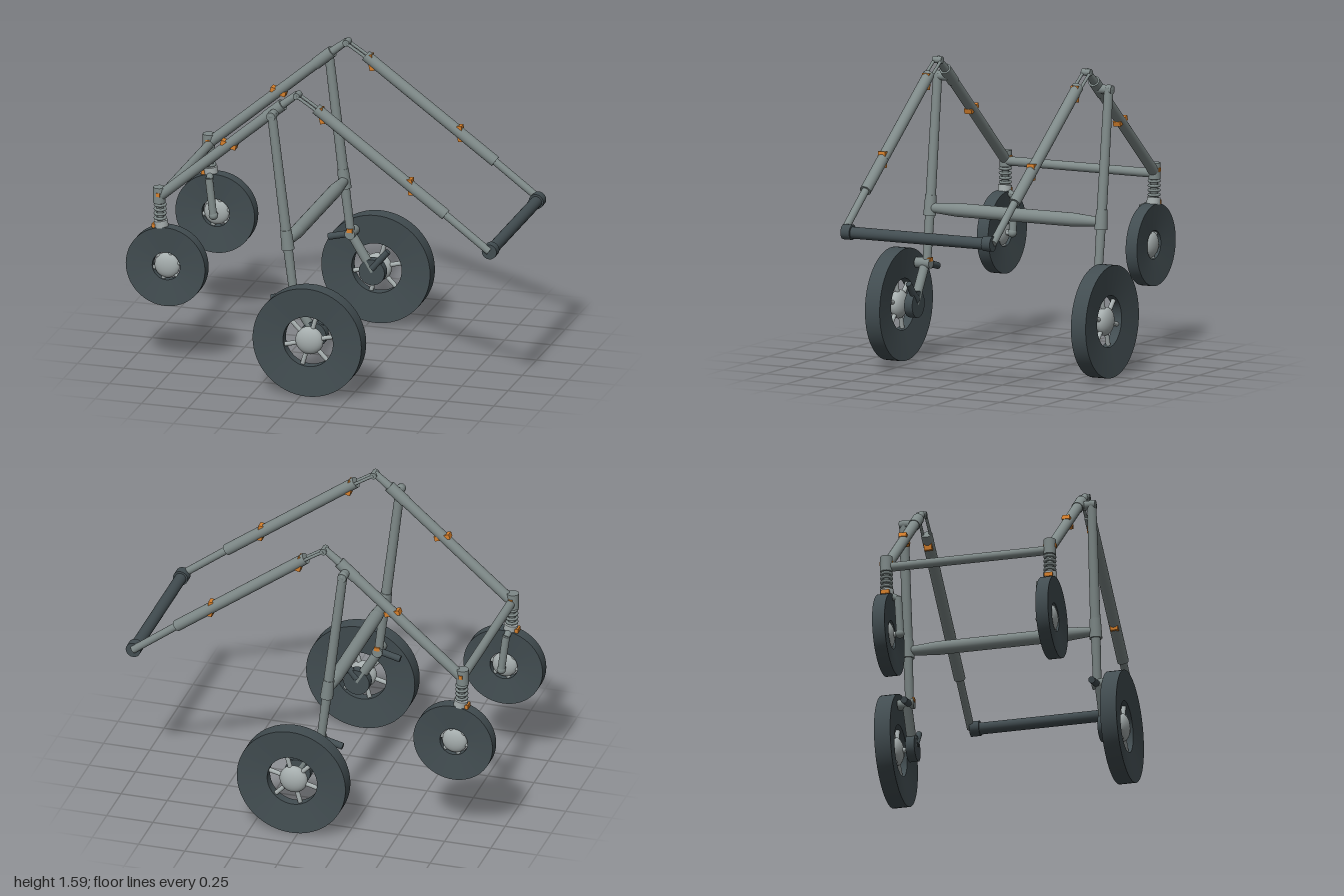
import * as THREE from 'three';
import { toCreasedNormals } from 'three/addons/utils/BufferGeometryUtils.js';

const material = (name, color) => {
  const m = new THREE.MeshStandardMaterial({ color });
  m.name = name;
  return m;
};

export function createModel() {
  const steel = material('grey steel', 0x7e8988);
  const dark = material('dark rubber', 0x424d51);
  const light = material('light metal', 0xa5adad);
  const orange = material('orange clip', 0xd6802c);
  const root = new THREE.Group();
  root.name = 'wheeledFrame';

  const add = (parent, name, geo, mat, pos = [0, 0, 0]) => {
    const m = new THREE.Mesh(geo, mat);
    m.name = name;
    m.position.set(...pos);
    parent.add(m);
    return m;
  };

  // Round rod between two points, radius ra at a and rb at b
  const rod = (parent, name, a, b, ra, rb = ra, mat = steel) => {
    const va = new THREE.Vector3(...a), vb = new THREE.Vector3(...b);
    const dir = vb.clone().sub(va);
    const m = add(parent, name, new THREE.CylinderGeometry(rb, ra, dir.length(), 20), mat);
    m.position.copy(va).lerp(vb, 0.5);
    m.quaternion.setFromUnitVectors(new THREE.Vector3(0, 1, 0), dir.normalize());
    return m;
  };

  const ball = (parent, name, pos, r, mat = steel) =>
    add(parent, name, new THREE.SphereGeometry(r, 20, 14), mat, pos);

  // Wheel: dished tyre, six spokes and a domed hub, axle along z
  const wheel = (name, pos, r, hole, halfWidth, hubR) => {
    const g = new THREE.Group();
    g.name = name;
    g.position.set(...pos);
    root.add(g);
    const w = halfWidth, inner = halfWidth * 0.6;
    const profile = [[hole, -inner], [r, -w], [r, w], [hole, inner], [hole, -inner]]
      .map(p => new THREE.Vector2(...p));
    const tyre = toCreasedNormals(new THREE.LatheGeometry(profile, 64), 0.5);
    add(g, 'tyre', tyre, dark).rotation.x = Math.PI / 2;
    add(g, 'hub', new THREE.SphereGeometry(hubR, 24, 16), light).scale.z = w / hubR * 0.95;
    for (let i = 0; i < 6; i++) {
      const a = i * Math.PI / 3 + 0.25, c = Math.cos(a), s = Math.sin(a);
      rod(g, 'spoke', [c * hubR * 0.8, s * hubR * 0.8, 0],
        [c * (hole + 0.01), s * (hole + 0.01), 0], 0.012, 0.012, light);
    }
  };

  // Orange clip clasped across a tube
  const clip = (parent, x, y, z, angle) => {
    add(parent, 'clip', new THREE.BoxGeometry(0.026, 0.085, 0.042), orange, [x, y, z]).rotation.z = angle;
  };

  for (const s of [1, -1]) {
    const side = new THREE.Group();
    side.name = s > 0 ? 'frontSide' : 'backSide';
    root.add(side);
    const z = s * 0.435, legZ = s * 0.5;

    // Sloping arms meeting at the apex
    rod(side, 'lowArm', [-0.82, 0.945, z], [-0.19, 1.485, z], 0.028);
    rod(side, 'lowArmSleeve', [-0.25, 1.433, z], [-0.16, 1.51, z], 0.031);
    rod(side, 'lowArmTip', [-0.17, 1.502, z], [-0.08, 1.575, z], 0.022, 0.018);
    rod(side, 'apexPin', [-0.08, 1.568, z - 0.026], [-0.08, 1.568, z + 0.026], 0.018);
    for (const t of [-0.02, 0.02]) {
      rod(side, 'forkTine', [-0.08, 1.568, z + t], [0.05, 1.485, z + t], 0.008);
    }
    rod(side, 'highArm', [0.02, 1.505, z], [0.53, 1.135, z], 0.03);
    rod(side, 'highArmSleeve', [0.52, 1.142, z], [0.72, 0.997, z], 0.03);
    rod(side, 'slidingTube', [0.71, 1.004, z], [0.955, 0.82, z], 0.02);
    clip(side, -0.45, 1.262, z, 1.27);
    clip(side, 0.052, 1.473, z, 0.2);
    clip(side, 0.533, 1.133, z, 0.1);

    // Main leg hung from a pivot on the arm
    rod(side, 'legPivot', [-0.2, 1.465, z], [-0.2, 1.465, s * 0.522], 0.024);
    rod(side, 'upperLeg', [-0.2, 1.475, legZ], [-0.118, 0.8, legZ], 0.024, 0.027);
    ball(side, 'legTop', [-0.2, 1.467, legZ], 0.025);
    rod(side, 'legCollar', [-0.124, 0.85, legZ], [-0.112, 0.745, legZ], 0.029, 0.034);
    rod(side, 'lowerLeg', [-0.115, 0.77, legZ], [-0.08, 0.49, legZ], 0.025, 0.022);

    // Ankle, trailing link and axle of the large wheel
    rod(side, 'anklePin', [-0.08, 0.5, s * 0.475], [-0.08, 0.5, s * 0.56], 0.028);
    add(side, 'ankleClip', new THREE.BoxGeometry(0.03, 0.02, 0.03), orange, [-0.08, 0.52, s * 0.487]);
    rod(side, 'trailingLink', [-0.08, 0.49, s * 0.512], [0.035, 0.3, s * 0.512], 0.025);
    rod(side, 'ankleLever', [-0.2, 0.47, legZ], [-0.08, 0.5, legZ], 0.018, 0.018, dark);
    rod(side, 'hubLever', [0.035, 0.32, legZ], [0.12, 0.42, legZ], 0.02, 0.016, dark);
    rod(side, 'hubMotor', [0.035, 0.3, s * 0.488], [0.035, 0.3, s * 0.535], 0.07, 0.07, dark);
    rod(side, 'largeAxle', [0.035, 0.295, s * 0.53], [0.035, 0.295, s * 0.6], 0.015, 0.015, light);
    wheel('largeWheel', [0.035, 0.295, s * 0.602], 0.294, 0.135, 0.043, 0.075);

    // Sprung fork of the small wheel
    rod(side, 'forkHead', [-0.828, 0.905, z], [-0.828, 0.99, z], 0.032);
    add(side, 'headClip', new THREE.BoxGeometry(0.02, 0.02, 0.07), orange, [-0.825, 0.955, z]);
    rod(side, 'springCore', [-0.82, 0.77, z], [-0.825, 0.92, z], 0.018);
    for (let i = 0; i < 4; i++) {
      add(side, 'springCoil', new THREE.TorusGeometry(0.026, 0.008, 8, 24), steel,
        [-0.823, 0.823 + i * 0.024, z]).rotation.x = Math.PI / 2;
    }
    rod(side, 'forkCrown', [-0.815, 0.775, z], [-0.82, 0.81, z], 0.036, 0.036, light);
    add(side, 'crownClip', new THREE.BoxGeometry(0.035, 0.022, 0.045), orange, [-0.845, 0.781, z]);
    rod(side, 'forkShoulder', [-0.815, 0.785, z], [-0.81, 0.755, s * 0.377], 0.018);
    rod(side, 'forkLeg', [-0.81, 0.765, s * 0.377], [-0.785, 0.567, s * 0.372], 0.02);
    ball(side, 'forkFoot', [-0.785, 0.567, s * 0.374], 0.024);
    rod(side, 'smallAxle', [-0.785, 0.567, s * 0.37], [-0.785, 0.567, s * 0.462], 0.015, 0.015, light);
    wheel('smallWheel', [-0.785, 0.567, z], 0.214, 0.075, 0.033, 0.068);

    // Rounded end cap of the handle bar
    rod(side, 'handleCap', [0.955, 0.817, s * 0.385], [0.955, 0.817, s * 0.436], 0.04, 0.04, dark);

    // Half of the middle cross bar, tapering towards the leg
    rod(side, 'middleBarHalf', [-0.115, 0.785, 0], [-0.115, 0.785, s * 0.34], 0.036, 0.036);
    rod(side, 'middleBarTaper', [-0.115, 0.785, s * 0.34], [-0.115, 0.785, s * 0.49], 0.036, 0.024);
  }

  // Cross bars joining both sides
  rod(root, 'lowCrossBar', [-0.822, 0.935, -0.43], [-0.822, 0.935, 0.43], 0.024);
  rod(root, 'handleBar', [0.955, 0.815, -0.4], [0.955, 0.815, 0.4], 0.031, 0.031, dark);

  return root;
}
